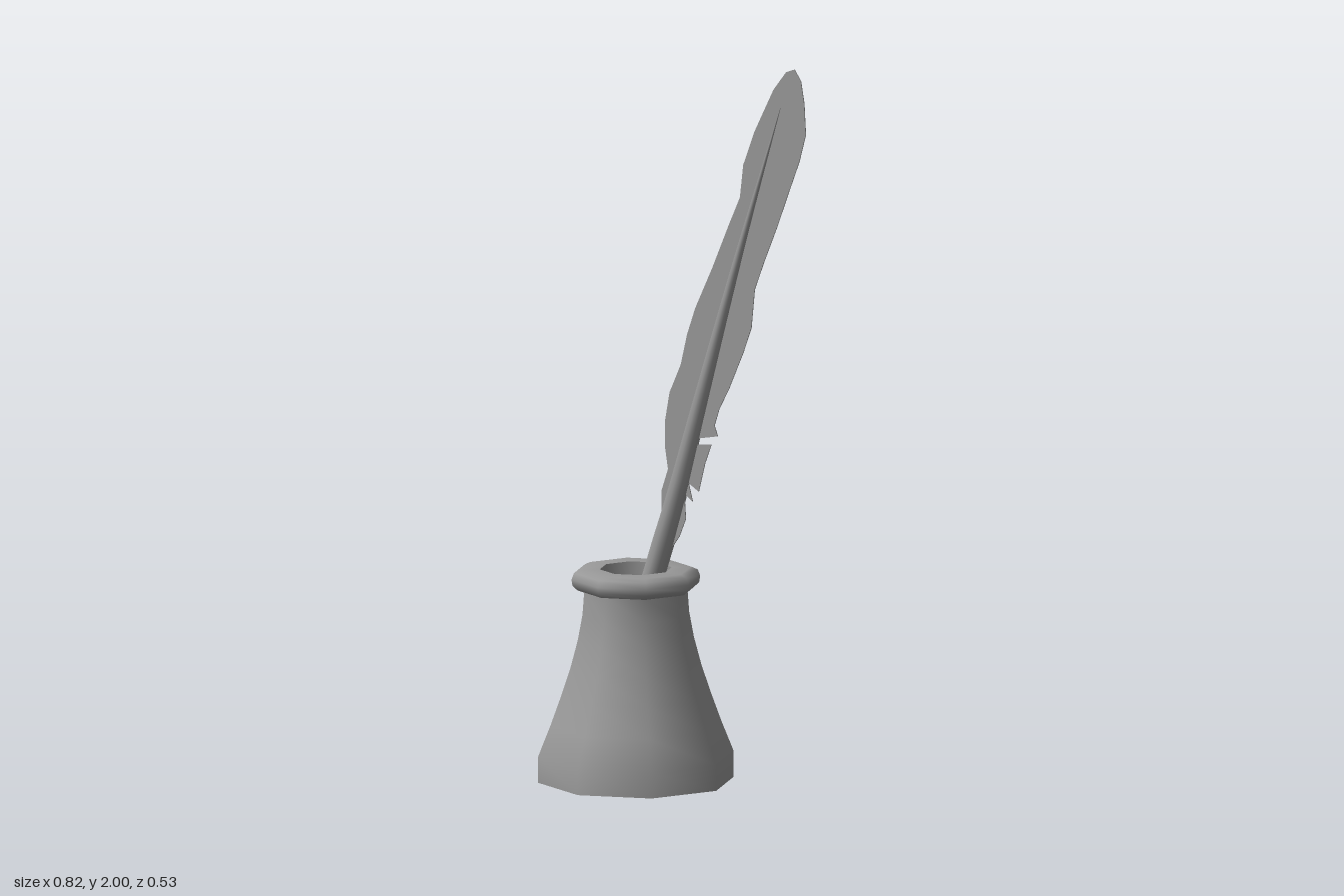
import * as THREE from 'three';
import { toCreasedNormals } from 'three/addons/utils/BufferGeometryUtils.js';

const material = new THREE.MeshStandardMaterial({ color: 0x999999 });
const vectors = (list) => list.map(([x, y]) => new THREE.Vector2(x, y));
const SHAFT_Z = -0.0045;

function addMesh(group, name, geometry) {
  const mesh = new THREE.Mesh(geometry, material);
  mesh.name = name;
  group.add(mesh);
  return mesh;
}

// Eight-sided pot: base, sloping shoulder, rolled lip, then the well inside
function inkPotGeometry() {
  const profile = vectors([
    [0, 0], [0.266, 0], [0.266, 0.07], [0.232, 0.155], [0.203, 0.235], [0.178, 0.31],
    [0.158, 0.385], [0.145, 0.455], [0.14, 0.522],
    [0.158, 0.522], [0.172, 0.535], [0.175, 0.552], [0.168, 0.57], [0.15, 0.578],
    [0.098, 0.578], [0.098, 0.1], [0, 0.1],
  ]);
  return toCreasedNormals(new THREE.LatheGeometry(profile, 8), 1.0);
}

// Gently bent shaft: a tube whose rings shrink towards the tip
function shaftGeometry() {
  const curve = new THREE.CatmullRomCurve3([
    [-0.235, 0.14], [-0.165, 0.35], [-0.087, 0.577], [-0.022, 0.77],
    [0.05, 1.01], [0.2, 1.5], [0.328, 1.89],
  ].map(([x, y]) => new THREE.Vector3(x, y, SHAFT_Z)));
  const steps = 20, sides = 8, radius = 0.031;
  const geometry = new THREE.TubeGeometry(curve, steps, radius, sides);
  const position = geometry.attributes.position;
  const vertex = new THREE.Vector3();
  for (let i = 0; i < position.count; i++) {
    const t = Math.floor(i / (sides + 1)) / steps;
    const centre = curve.getPointAt(t);
    const taper = t < 0.3 ? 1 : 1 - 0.97 * (t - 0.3) / 0.7;
    vertex.fromBufferAttribute(position, i).sub(centre).multiplyScalar(taper).add(centre);
    position.setXYZ(i, vertex.x, vertex.y, vertex.z);
  }
  return geometry;
}

// Thin feather: up the left edge, over the tip, down the notched right edge
function vaneGeometry() {
  const outline = vectors([
    [-0.034, 0.645], [-0.055, 0.69], [-0.066, 0.73], [-0.066, 0.80], [-0.045, 0.86],
    [-0.055, 0.92], [-0.055, 0.99], [-0.04, 1.07], [-0.003, 1.15], [0.018, 1.235],
    [0.045, 1.31], [0.103, 1.43], [0.156, 1.55], [0.193, 1.63], [0.204, 1.72],
    [0.241, 1.815], [0.304, 1.937], [0.346, 1.99], [0.373, 2.0], [0.394, 1.97],
    [0.405, 1.91], [0.41, 1.825], [0.389, 1.75], [0.352, 1.657], [0.315, 1.562],
    [0.272, 1.462], [0.241, 1.383], [0.23, 1.277], [0.204, 1.208], [0.156, 1.102],
    [0.124, 1.044], [0.108, 0.996], [0.119, 0.968], [0.055, 0.955],
    [0.05, 0.938], [0.098, 0.943], [0.077, 0.89], [0.056, 0.81], [0.022, 0.83],
    [0.036, 0.78], [0.008, 0.80], [0.013, 0.73], [-0.008, 0.68],
  ]);
  return new THREE.ExtrudeGeometry(new THREE.Shape(outline), { depth: 0.003, bevelEnabled: false })
    .translate(0, 0, -0.009);
}

export function createModel() {
  const model = new THREE.Group();
  model.name = 'inkPotWithQuill';

  addMesh(model, 'inkPot', inkPotGeometry()).position.x = -0.147;

  const quill = new THREE.Group();
  quill.name = 'quill';
  addMesh(quill, 'shaft', shaftGeometry());
  addMesh(quill, 'vane', vaneGeometry());
  model.add(quill);

  return model;
}
